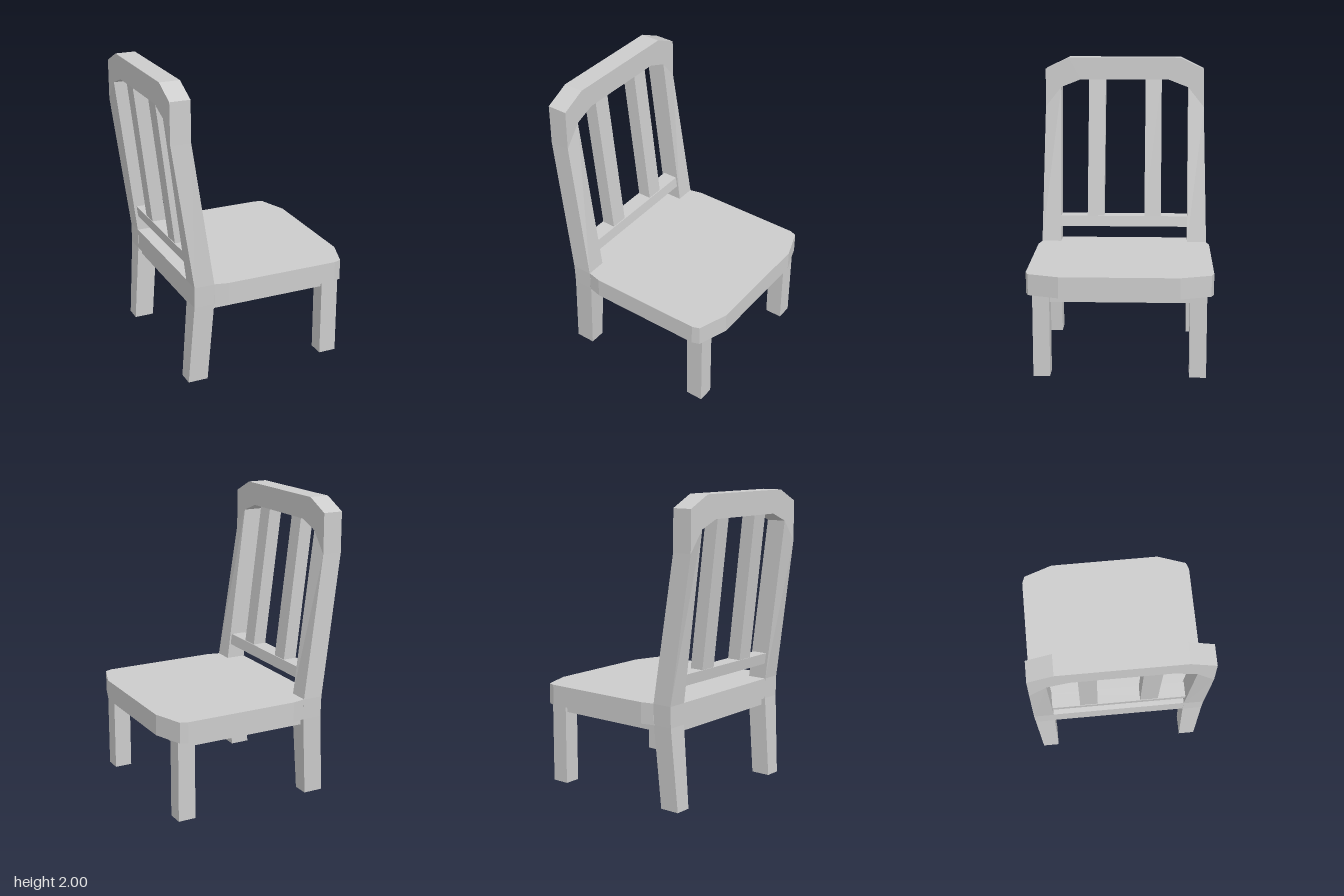
import * as THREE from 'three';

const material = new THREE.MeshStandardMaterial({ color: 0xcccccc, flatShading: true });

// Solid through matching cross-sections; each ring runs counter-clockwise seen from its far end
function loft(rings) {
  const pos = [];
  const tri = (a, b, c) => pos.push(...a, ...b, ...c);
  const n = rings[0].length;
  for (let i = 0; i < rings.length - 1; i++) {
    for (let j = 0; j < n; j++) {
      const k = (j + 1) % n;
      const [a, b, c, d] = [rings[i][j], rings[i][k], rings[i + 1][k], rings[i + 1][j]];
      tri(a, b, c);
      tri(a, c, d);
    }
  }
  const first = rings[0], last = rings[rings.length - 1];
  for (let j = 1; j < n - 1; j++) {
    tri(first[0], first[j + 1], first[j]);
    tri(last[0], last[j], last[j + 1]);
  }
  const geometry = new THREE.BufferGeometry();
  geometry.setAttribute('position', new THREE.Float32BufferAttribute(pos, 3));
  geometry.computeVertexNormals();
  return geometry;
}

// Horizontal four-cornered section
const section = (y, x0, x1, z0, z1) => [[x0, y, z1], [x1, y, z1], [x1, y, z0], [x0, y, z0]];

export function createModel() {
  const group = new THREE.Group();
  const add = (name, geometry) => {
    const mesh = new THREE.Mesh(geometry, material);
    mesh.name = name;
    group.add(mesh);
  };
  const addBox = (name, x0, x1, y0, y1, z0, z1) => {
    const box = new THREE.BoxGeometry(x1 - x0, y1 - y0, z1 - z0);
    add(name, box.translate((x0 + x1) / 2, (y0 + y1) / 2, (z0 + z1) / 2));
  };

  // Rear legs, back posts and top rail as one bent bar:
  // back x, front x, outer y, outer z, inner y, inner z
  const bends = [
    [-0.535, -0.4, 0, 0.565, 0, 0.455],
    [-0.497, -0.36, 0.55, 0.588, 0.55, 0.455],
    [-0.497, -0.36, 0.69, 0.592, 0.69, 0.455],
    [-0.633, -0.497, 1.65, 0.567, 1.79, 0.455],
    [-0.633, -0.497, 1.92, 0.565, 1.79, 0.455],
    [-0.633, -0.497, 2, 0.4, 1.845, 0.315],
  ];
  const frameRing = ([xb, xf, yo, zo, yi, zi], s) =>
    [[xb, yo, s * zo], [xf, yo, s * zo], [xf, yi, s * zi], [xb, yi, s * zi]];
  add('backFrame', loft([
    ...bends.map((b) => frameRing(b, 1)),
    ...bends.slice().reverse().map((b) => frameRing(b, -1)),
  ]));

  // Seat slab with clipped front corners
  const side = [[-0.495, 0.5], [-0.36, 0.59], [-0.27, 0.61], [0.51, 0.61], [0.56, 0.592], [0.63, 0.39]];
  const outline = [...side, ...side.slice().reverse().map(([x, z]) => [x, -z])];
  add('seat', loft([0.55, 0.69].map((y) => outline.map(([x, z]) => [x, y, z]))));

  // Front legs and side aprons
  for (const s of [-1, 1]) {
    const label = s > 0 ? 'left' : 'right';
    const span = (a, b) => (s > 0 ? [a, b] : [-b, -a]);
    addBox(label + 'FrontLeg', 0.44, 0.56, 0, 0.55, ...span(0.455, 0.565));
    addBox(label + 'SideApron', -0.4, 0.45, 0.5, 0.55, ...span(0.49, 0.55));
  }
  addBox('frontApron', 0.48, 0.54, 0.5, 0.55, -0.46, 0.46);
  addBox('rearApron', -0.47, -0.41, 0.5, 0.55, -0.46, 0.46);

  // Lower back rail, leaning with the posts
  add('lowerBackRail', loft([
    section(0.795, -0.49, -0.385, -0.458, 0.458),
    section(0.87, -0.5, -0.395, -0.458, 0.458),
  ]));

  // Two leaning slats
  add('leftSlat', loft([
    section(0.86, -0.495, -0.4, 0.145, 0.265),
    section(1.85, -0.61, -0.515, 0.135, 0.255),
  ]));
  add('rightSlat', loft([
    section(0.86, -0.495, -0.4, -0.265, -0.145),
    section(1.85, -0.61, -0.515, -0.265, -0.15),
  ]));

  return group;
}
